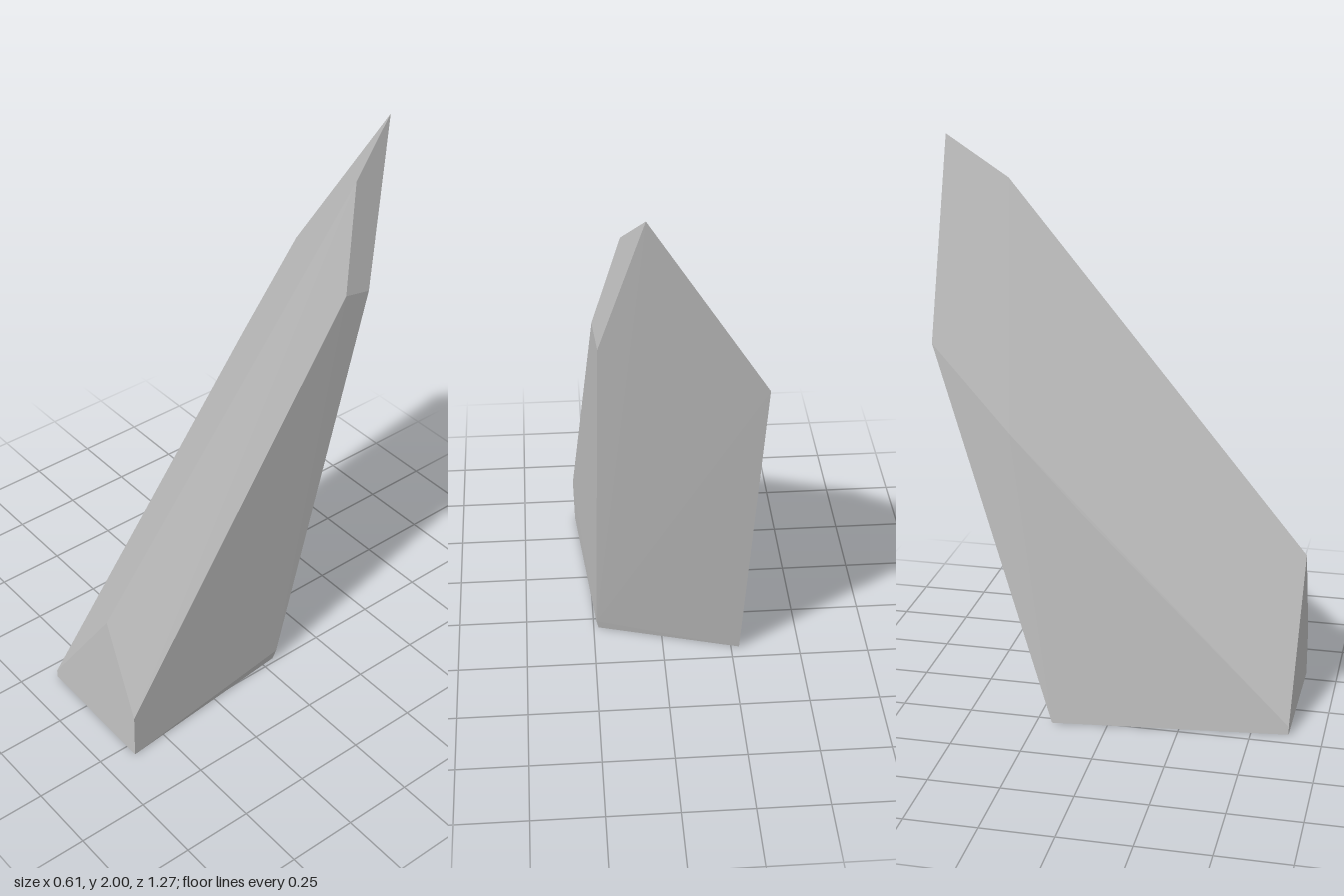
import * as THREE from 'three';
import { ConvexGeometry } from 'three/addons/geometries/ConvexGeometry.js';

export function createModel() {
  const group = new THREE.Group();
  group.name = 'leaningRock';

  const stone = new THREE.MeshStandardMaterial({ color: 0xc4c4c4, flatShading: true });
  stone.name = 'pale stone grey';

  // Corners of the shard; the convex hull forms its flat facets
  const corners = [
    // base
    [-0.19, 0, 0.63], [0.298, 0, 0.635], [0.232, 0, -0.05], [-0.28, 0, -0.195],
    // front end
    [-0.19, 0.03, 0.63], [0.163, 0.53, 0.635], [0.302, 0.18, 0.635],
    // slightly worn edges
    [0.24, 0.04, -0.06], [-0.268, 0.79, -0.08], [-0.293, 1.07, -0.325],
    // slanted tip
    [-0.303, 1.37, -0.58], [0.226, 1.46, -0.445], [0.239, 1.49, -0.33],
    [0.15, 1.845, -0.435], [0.085, 2, -0.635],
  ].map((p) => new THREE.Vector3(...p));

  const shard = new THREE.Mesh(new ConvexGeometry(corners), stone);
  shard.name = 'rockShard';
  group.add(shard);
  return group;
}
